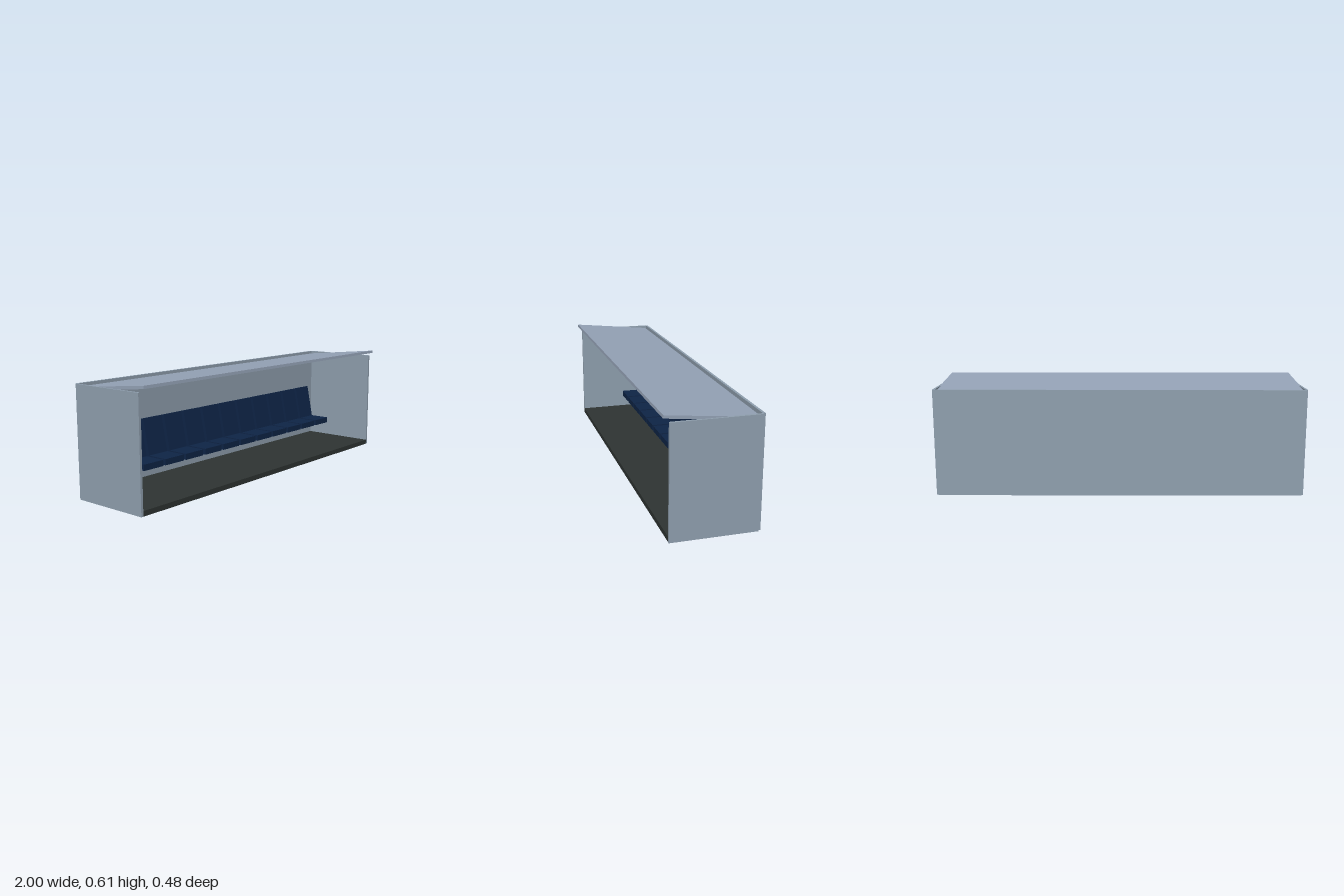
import * as THREE from 'three';

const material = (name, color) => {
  const m = new THREE.MeshStandardMaterial({ color });
  m.name = name;
  return m;
};

export function createModel() {
  const wallPaint = material('wall grey', 0x8f9fae);
  const roofPaint = material('roof grey', 0x94a2b6);
  const floorPaint = material('floor dark grey', 0x2e3432);
  const seatPaint = material('seat navy', 0x0e2446);

  const shelter = new THREE.Group();
  shelter.name = 'benchShelter';

  const addBox = (parent, name, mat, size, position, tilt = 0) => {
    const mesh = new THREE.Mesh(new THREE.BoxGeometry(...size), mat);
    mesh.name = name;
    mesh.position.set(...position);
    mesh.rotation.x = tilt;
    parent.add(mesh);
  };

  // Floor slab and the open-fronted shell
  addBox(shelter, 'floor', floorPaint, [1.974, 0.027, 0.44], [0, 0.0135, -0.007]);
  addBox(shelter, 'backWall', wallPaint, [1.98, 0.579, 0.013], [0, 0.2895, -0.2335]);
  for (const [name, side] of [['leftWall', 1], ['rightWall', -1]]) {
    addBox(shelter, name, wallPaint, [0.013, 0.579, 0.44], [side * 0.9935, 0.2895, -0.007]);
  }

  // Roof rises toward the front and sinks between the walls at the back
  addBox(shelter, 'roof', roofPaint, [1.982, 0.015, 0.462], [0, 0.5805, 0.0095], -0.105);

  // Row of twelve seats with leaning backrests
  const seatCount = 12;
  for (let i = 0; i < seatCount; i++) {
    const seat = new THREE.Group();
    seat.name = `seat${i + 1}`;
    seat.position.x = 0.005 + (i - (seatCount - 1) / 2) * 0.1515;
    addBox(seat, 'seatPan', seatPaint, [0.134, 0.033, 0.145], [0, 0.1415, -0.11]);
    addBox(seat, 'backrest', seatPaint, [0.134, 0.21, 0.02], [0, 0.247, -0.189], -0.2);
    shelter.add(seat);
  }

  return shelter;
}
